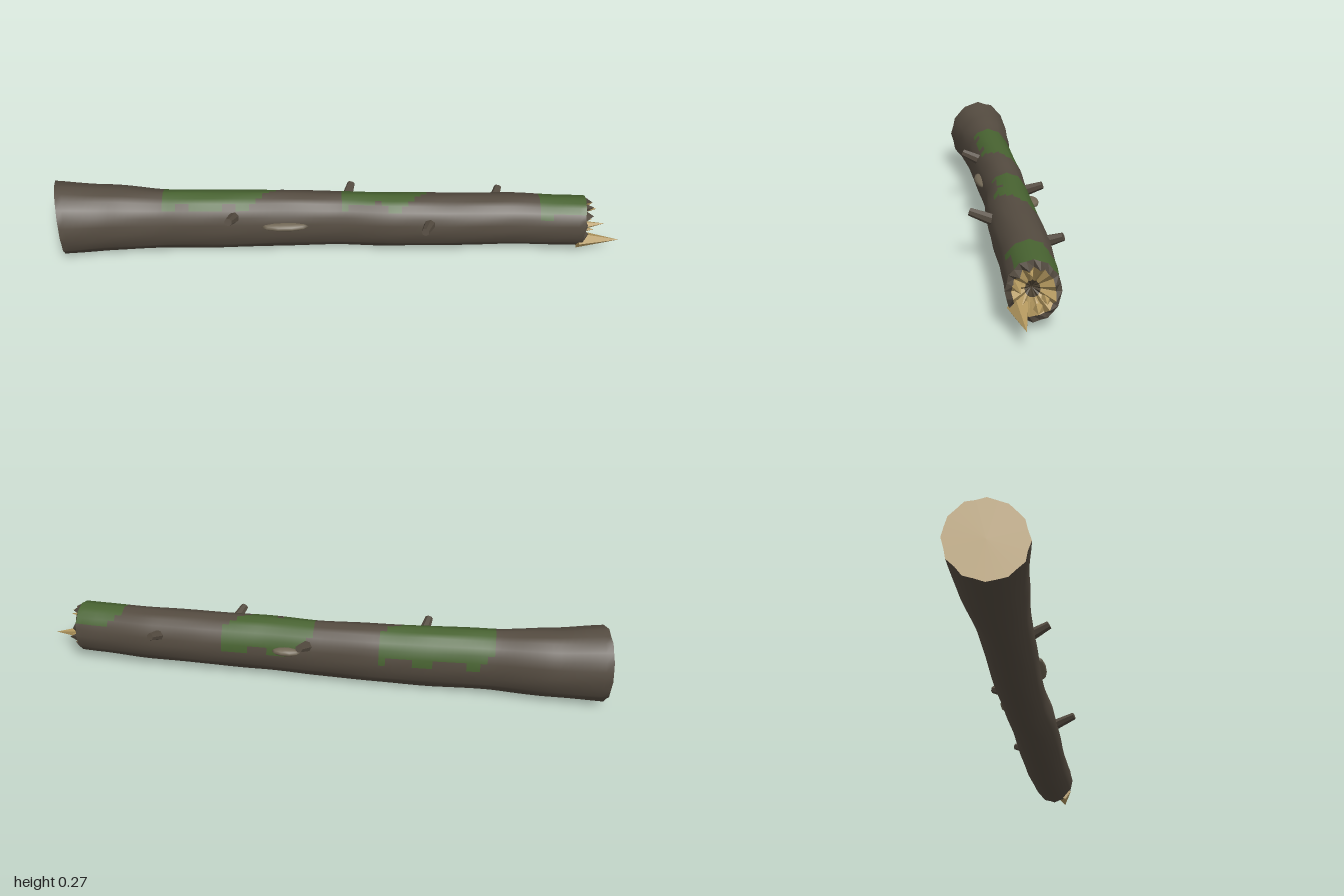
import * as THREE from 'three';

const SIDES = 24, RINGS = 80, X0 = -0.98, X1 = 0.87;

// x, centre y, centre z, half height, half depth of the trunk
const STATIONS = [
  [-1.0, 0.136, -0.02, 0.135, 0.121], [-0.8, 0.127, -0.028, 0.122, 0.106],
  [-0.6, 0.12, -0.024, 0.112, 0.086], [-0.4, 0.115, -0.024, 0.112, 0.084],
  [-0.2, 0.114, -0.026, 0.108, 0.082], [0, 0.113, -0.021, 0.103, 0.078],
  [0.2, 0.113, -0.009, 0.101, 0.083], [0.4, 0.113, -0.005, 0.098, 0.085],
  [0.6, 0.114, -0.002, 0.096, 0.083], [0.8, 0.114, 0.011, 0.093, 0.08],
  [0.9, 0.114, 0.019, 0.092, 0.078],
];

function station(x) {
  let i = 0;
  while (i < STATIONS.length - 2 && x > STATIONS[i + 1][0]) i++;
  const a = STATIONS[i], b = STATIONS[i + 1];
  const t = THREE.MathUtils.smoothstep(x, a[0], b[0]) * 0.5 + 0.5 * (x - a[0]) / (b[0] - a[0]);
  return a.map((v, k) => v + (b[k] - v) * t);
}

// Point on the trunk: angle runs from the top towards the front
function barkPoint(x, j, scale = 1) {
  const [, cy, cz, ry, rz] = station(x);
  const th = (j / SIDES) * Math.PI * 2;
  const rib = scale * (0.985 + 0.022 * Math.cos(12 * th + 0.3) + 0.008 * Math.sin(x * 19 + j * 2.4));
  const z = Math.sin(th) * rz * rib;
  const tilt = 0.17 * Math.max(0, (-0.7 - x) / 0.28) - 0.1 * Math.max(0, (x - 0.6) / 0.27);
  return [x + tilt * z, cy + Math.cos(th) * ry * rib, cz + z];
}

// Moss patches: x start, x end, back angle, front angle in degrees
const PATCHES = [[-0.6, -0.22, -82, 42], [0.02, 0.33, -82, 30], [0.71, 0.88, -55, 48]];
function isMoss(x, deg) {
  return PATCHES.some(([a, b, lo, hi]) => {
    const u = (x - a) / (b - a);
    if (u < 0 || u > 1) return false;
    const wob = 9 * Math.sin(x * 37) + 6 * Math.sin(x * 71 + a);
    const endTrim = b > 0.8 ? 0 : 60 * Math.max(0, u - 0.72) / 0.28;
    return deg > lo + wob + 22 * Math.max(0, 0.2 - u) / 0.2 && deg < hi + wob - endTrim;
  });
}

// Surface through closed rings of points; pick(i, j) chooses the material group
function loft(rings, pick = () => 0) {
  const n = rings[0].length, faces = [[], []];
  for (let i = 0; i < rings.length - 1; i++) for (let j = 0; j < n; j++) {
    const a = i * n + j, b = i * n + (j + 1) % n;
    faces[pick(i, j)].push(a, b, a + n, b, b + n, a + n);
  }
  const g = new THREE.BufferGeometry();
  g.setAttribute('position', new THREE.Float32BufferAttribute(rings.flat(2), 3));
  g.setIndex([...faces[0], ...faces[1]]);
  g.addGroup(0, faces[0].length, 0);
  g.addGroup(faces[0].length, faces[1].length, 1);
  g.computeVertexNormals();
  return g;
}

export function createModel() {
  const log = new THREE.Group();
  log.name = 'fallenLog';
  const mat = (name, color, extra = {}) => {
    const m = new THREE.MeshStandardMaterial({ color, ...extra });
    m.name = name;
    return m;
  };
  const bark = mat('bark', 0x544b40);
  const moss = mat('moss', 0x486331);
  const wood = mat('bareWood', 0xb3985f, { side: THREE.DoubleSide });
  const pith = mat('darkPith', 0x4c4232, { side: THREE.DoubleSide });
  const knotWood = mat('knotWood', 0x726856);
  const add = (name, geo, material) => {
    const m = new THREE.Mesh(geo, material);
    m.name = name;
    log.add(m);
    return m;
  };
  const loop = (fn) => Array.from({ length: SIDES }, (_, j) => fn(j));

  // Ribbed trunk with moss cells on its upper side
  const xAt = (i) => X0 + (X1 - X0) * i / RINGS;
  const rings = Array.from({ length: RINGS + 1 }, (_, i) => loop((j) => barkPoint(xAt(i), j)));
  add('trunk', loft(rings, (i, j) => {
    const deg = ((j + 0.5) * 360 / SIDES + 180) % 360 - 180;
    return isMoss(xAt(i + 0.5), deg) ? 1 : 0;
  }), [bark, moss]);

  // Sawn end
  const [, cy0, cz0] = station(X0);
  add('sawnEnd', loft([loop(() => [X0, cy0, cz0]), rings[0]]).toNonIndexed(), wood)
    .geometry.computeVertexNormals();

  // Broken end: jagged bark lip, torn wood and dark centre
  const tooth = (j) => (j % 2 ? 0.022 + 0.012 * Math.sin(j * 2.3) : 0.002);
  const shift = (p, dx) => [p[0] + dx, p[1], p[2]];
  const rim = rings[RINGS];
  const lip = loop((j) => shift(barkPoint(X1, j, 0.78), tooth(j)));
  const inner = loop((j) => shift(barkPoint(X1, j, 0.28), -0.02 + (j % 2) * 0.006));
  const core = loop(() => [X1 - 0.035, 0.114, 0.018]);
  [['brokenLip', rim, lip, bark], ['tornWood', lip, inner, wood], ['pithHollow', inner, core, pith]]
    .forEach(([name, a, b, m]) => {
      const g = loft([a, b]).toNonIndexed();
      g.computeVertexNormals();
      add(name, g, m);
    });

  // Tapered piece between two points
  const taper = (name, from, to, r0, r1, sides, material) => {
    const a = new THREE.Vector3(...from), d = new THREE.Vector3(...to).sub(a);
    const g = new THREE.CylinderGeometry(r1, r0, d.length(), sides).toNonIndexed();
    g.computeVertexNormals();
    const m = add(name, g, material);
    m.position.copy(a).addScaledVector(d, 0.5);
    m.quaternion.setFromUnitVectors(new THREE.Vector3(0, 1, 0), d.normalize());
  };

  // Splinters
  [
    [[0.85, 0.06, 0.055], [1.0, 0.052, 0.054], 0.033],
    [[0.86, 0.13, 0.065], [0.935, 0.132, 0.06], 0.016],
    [[0.86, 0.175, 0.03], [0.91, 0.17, 0.025], 0.016],
    [[0.86, 0.09, -0.02], [0.915, 0.09, -0.015], 0.016],
    [[0.86, 0.06, 0.0], [0.92, 0.065, 0.01], 0.018],
  ].forEach(([a, b, r]) => taper('splinter', a, b, r, 0, 5, wood));

  // Broken branch stubs
  [
    [[-0.36, 0.165, 0.03], [-0.378, 0.195, 0.1], 0.021],
    [[0.325, 0.14, 0.05], [0.297, 0.168, 0.138], 0.021],
    [[0.03, 0.15, -0.07], [0.053, 0.178, -0.14], 0.021],
    [[0.56, 0.145, -0.06], [0.583, 0.168, -0.118], 0.02],
  ].forEach(([a, b, r]) => taper('branchStub', a, b, r, r * 0.65, 7, bark));

  // Long raised knots on the front and back
  [[-0.185, 0.135, 0.053, 0.083], [0.105, 0.135, -0.098, 0.05]].forEach(([x, y, z, half]) => {
    const m = add('knot', new THREE.SphereGeometry(1, 10, 6), knotWood);
    m.scale.set(half, 0.014, 0.021);
    m.position.set(x, y, z);
  });

  return log;
}
